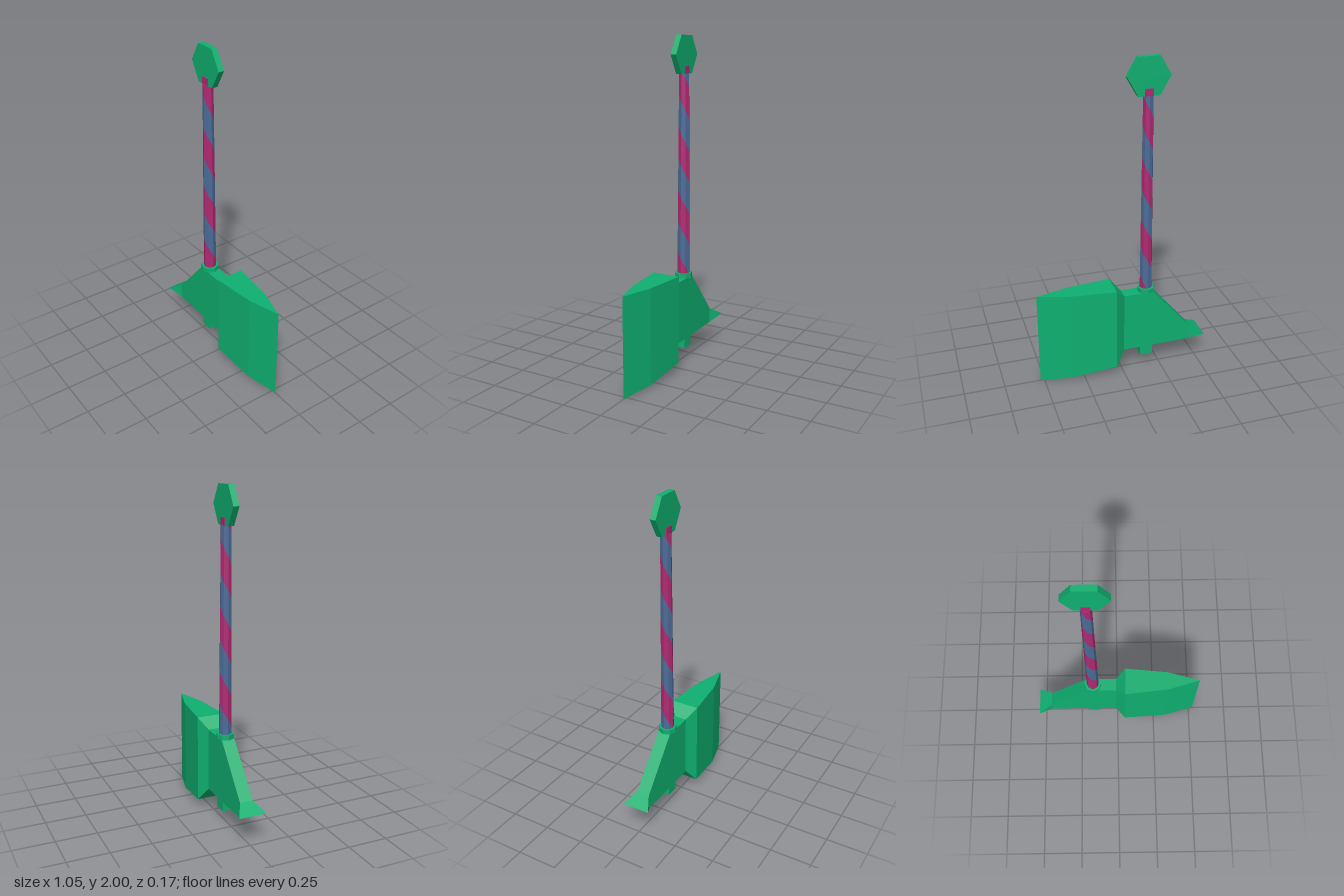
import * as THREE from 'three';

const green = new THREE.MeshStandardMaterial({ name: 'green', color: 0x0fb070, flatShading: true });
const pink = new THREE.MeshStandardMaterial({ name: 'pink', color: 0xb02a72, flatShading: true });
const blue = new THREE.MeshStandardMaterial({ name: 'blue', color: 0x4c6b98, flatShading: true });

const AXIS = -0.16; // x of the handle

// Flat-faced geometry from a list of quads, each four [x, y, z] corners
function fromQuads(quads) {
  const pos = [];
  for (const [a, b, c, d] of quads) pos.push(...a, ...b, ...c, ...a, ...c, ...d);
  const g = new THREE.BufferGeometry();
  g.setAttribute('position', new THREE.Float32BufferAttribute(pos, 3));
  g.computeVertexNormals();
  return g;
}

// Rectangular cross-sections [x, bottom, top, half depth] joined along x
function loft(sections) {
  const rings = sections.map(([x, b, t, h]) => [[x, b, h], [x, b, -h], [x, t, -h], [x, t, h]]);
  const quads = [];
  for (let s = 0; s < rings.length - 1; s++) {
    for (let i = 0; i < 4; i++) {
      const j = (i + 1) % 4;
      quads.push([rings[s][i], rings[s][j], rings[s + 1][j], rings[s + 1][i]]);
    }
  }
  return fromQuads(quads);
}

// Eight-sided tapered shaft, split into two colours by a helix
function stripeGeometry(parity) {
  const y0 = 0.54, y1 = 1.78, pitch = 0.38, sides = 8;
  const point = (k, y) => {
    const a = (k / sides) * Math.PI * 2;
    const r = THREE.MathUtils.mapLinear(y, y0, y1, 0.039, 0.031);
    return [AXIS + r * Math.sin(a), y, r * Math.cos(a)];
  };
  const quads = [];
  for (let k = 0; k < sides; k++) {
    for (let n = -6; n < 8; n++) {
      if (Math.abs(n % 2) !== parity) continue;
      const edge = (side, m) =>
        THREE.MathUtils.clamp(1.325 + (pitch / 2) * m - (pitch * side) / sides, y0, y1);
      const la = edge(k, n), lb = edge(k + 1, n), ha = edge(k, n + 1), hb = edge(k + 1, n + 1);
      if (ha - la + hb - lb < 1e-6) continue;
      quads.push([point(k, la), point(k + 1, lb), point(k + 1, hb), point(k, ha)]);
    }
  }
  return fromQuads(quads);
}

export function createModel() {
  const group = new THREE.Group();
  const add = (name, geometry, material, x = 0, y = 0) => {
    const mesh = new THREE.Mesh(geometry, material);
    mesh.name = name;
    mesh.position.set(x, y, 0);
    group.add(mesh);
    return mesh;
  };

  // Head: flared rear spike, slab body and wedge blade
  add('axeHead', loft([
    [-0.53, 0.2, 0.2, 0.086],
    [-0.445, 0.157, 0.25, 0.04],
    [-0.2, 0.152, 0.54, 0.04],
    [-0.01, 0.152, 0.54, 0.04],
    [0.05, 0.065, 0.605, 0.086],
    [0.325, 0.022, 0.605, 0.057],
    [0.525, 0.003, 0.605, 0],
  ]), green);

  // Handle end below the head, and collar above it
  add('lowerPeg', new THREE.BoxGeometry(0.08, 0.2, 0.06), green, AXIS, 0.185);
  add('collar', new THREE.CylinderGeometry(0.054, 0.054, 0.03, 8), green, AXIS, 0.553);

  // Striped handle with its tip set into the pommel
  add('handlePinkStripe', stripeGeometry(0), pink);
  add('handleBlueStripe', stripeGeometry(1), blue);
  add('handleTop', new THREE.CylinderGeometry(0.031, 0.031, 0.004, 8), pink, AXIS, 1.778);
  add('handleTip', new THREE.BoxGeometry(0.05, 0.045, 0.046), pink, AXIS, 1.798);

  // Hexagonal pommel, flat side up
  const hexagon = new THREE.CylinderGeometry(0.128, 0.128, 0.036, 6);
  hexagon.rotateY(Math.PI / 2).rotateX(Math.PI / 2);
  add('pommel', hexagon, green, AXIS, 1.889);

  return group;
}
